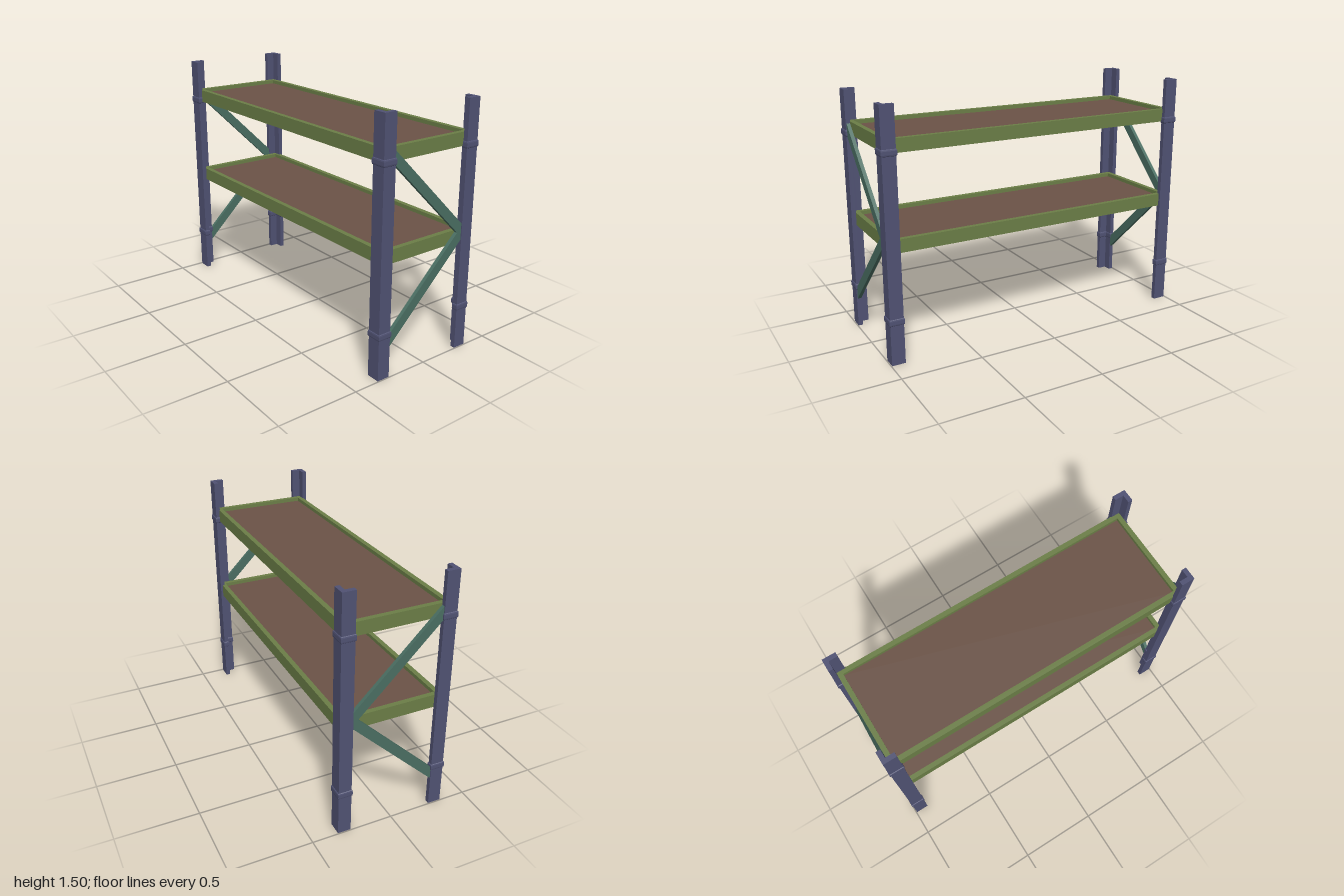
import * as THREE from 'three';

const mat = (color) => new THREE.MeshStandardMaterial({ color, flatShading: true });
const postMat = mat(0x505273);
const frameMat = mat(0x6b7e47);
const panelMat = mat(0x6b5347);
const braceMat = mat(0x4a6e62);

const polygon = (pts) => new THREE.Shape(pts.map(([x, y]) => new THREE.Vector2(x, y)));

// Extrudes a floor-plan shape upwards (shape y becomes -z)
function extrudeUp(shape, height, bevel = {}) {
  const geo = new THREE.ExtrudeGeometry(shape, { depth: height, bevelEnabled: false, ...bevel });
  return geo.rotateX(-Math.PI / 2);
}

function add(parent, name, geo, material, x = 0, y = 0, z = 0) {
  const mesh = new THREE.Mesh(geo, material);
  mesh.name = name;
  mesh.position.set(x, y, z);
  parent.add(mesh);
}

// Angle-iron plan for one corner, opening towards the middle
function anglePlan(sx, sz) {
  const X = 0.34, Z = 0.995, x = 0.26, z = 0.912, t = 0.028;
  return polygon([[X, Z], [x, Z], [x, Z - t], [X - t, Z - t], [X - t, z], [X, z]]
    .map(([a, b]) => [a * sx, -b * sz]));
}

function rectangle(Type, w, d) {
  return new Type([[-w, -d], [w, -d], [w, d], [-w, d]].map(([a, b]) => new THREE.Vector2(a, b)));
}

export function createModel() {
  const model = new THREE.Group();
  model.name = 'shelvingRack';

  // Corner posts with two rounded collars each
  for (const sx of [-1, 1]) {
    for (const sz of [-1, 1]) {
      const post = new THREE.Group();
      post.name = 'cornerPost';
      add(post, 'post', extrudeUp(anglePlan(sx, sz), 1.505), postMat);
      const collar = extrudeUp(anglePlan(sx, sz), 0.02,
        { bevelEnabled: true, bevelSize: 0.005, bevelThickness: 0.01, bevelSegments: 2 });
      for (const y of [0.255, 1.235]) add(post, 'collar', collar, postMat, 0, y);
      model.add(post);
    }
  }

  // Shelves: rectangular frame around a recessed panel
  const rim = rectangle(THREE.Shape, 0.316, 0.967);
  rim.holes.push(rectangle(THREE.Path, 0.286, 0.937));
  const rimGeo = extrudeUp(rim, 0.08);
  const panelGeo = new THREE.BoxGeometry(0.574, 0.03, 1.876);
  for (const [x, y] of [[0.01, 0.67], [0, 1.235]]) {
    const shelf = new THREE.Group();
    shelf.name = 'shelf';
    shelf.position.set(x, y, 0);
    add(shelf, 'shelfFrame', rimGeo, frameMat);
    add(shelf, 'shelfPanel', panelGeo, panelMat, 0, 0.042);
    model.add(shelf);
  }

  // Diagonal braces at both ends, meeting at the left post
  const brace = (y0, y1) => new THREE.ExtrudeGeometry(
    polygon([[-0.275, y0 - 0.04], [0.275, y1 - 0.04], [0.275, y1 + 0.04], [-0.275, y0 + 0.04]]),
    { depth: 0.022, bevelEnabled: false });
  for (const z of [0.968, -0.99]) {
    add(model, 'lowerBrace', brace(0.21, 0.745), braceMat, 0, 0, z);
    add(model, 'upperBrace', brace(1.28, 0.735), braceMat, 0, 0, z);
  }
  return model;
}
